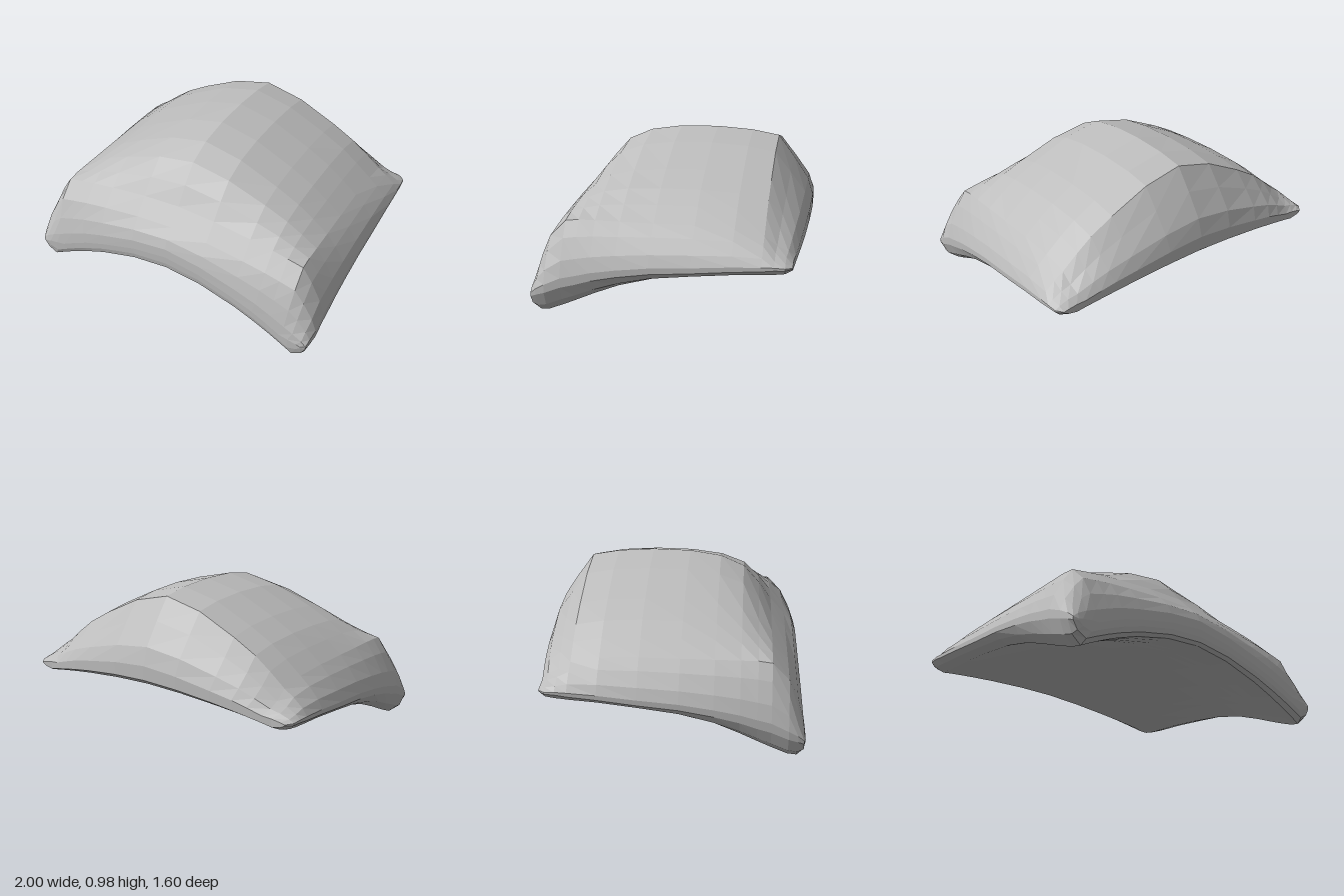
import * as THREE from 'three';

// Cross-sections from front to back:
// [z at corners, z at centre, top centre, top shoulder, side seam, bottom edge, bottom centre, half width]
const ROWS = [
  [0.80, 0.775, 0.38, 0.15, 0.12, 0.075, 0.33, 0.95],
  [0.79, 0.77, 0.44, 0.22, 0.12, 0.03, 0.295, 0.98],
  [0.755, 0.745, 0.50, 0.33, 0.14, 0.0, 0.28, 0.99],
  [0.70, 0.69, 0.56, 0.45, 0.16, 0.01, 0.285, 1],
  [0.60, 0.60, 0.66, 0.55, 0.20, 0.05, 0.30, 1],
  [0.52, 0.52, 0.77, 0.56, 0.22, 0.085, 0.32, 1],
  [0.42, 0.42, 0.88, 0.56, 0.25, 0.13, 0.345, 1],
  [0.27, 0.27, 0.945, 0.56, 0.28, 0.19, 0.375, 1],
  [0.07, 0.07, 0.975, 0.56, 0.31, 0.245, 0.41, 1],
  [-0.17, -0.17, 0.98, 0.56, 0.33, 0.28, 0.43, 1],
  [-0.40, -0.40, 0.965, 0.55, 0.355, 0.305, 0.44, 1],
  [-0.57, -0.57, 0.935, 0.52, 0.37, 0.315, 0.44, 1],
  [-0.64, -0.67, 0.80, 0.47, 0.38, 0.32, 0.435, 1],
  [-0.70, -0.765, 0.66, 0.44, 0.38, 0.33, 0.43, 0.995],
  [-0.74, -0.80, 0.55, 0.405, 0.38, 0.35, 0.46, 0.96],
];

// Stations across the width, with the rise of the top arch and of the rounded side
const HALF = [1, 0.97, 0.91, 0.85, 0.75, 0.65, 0.5, 0.25];
const XS = [...HALF, 0, ...HALF.slice().reverse().map((x) => -x)];
const ARCH = { 0.85: 0, 0.75: 0.2, 0.65: 0.38, 0.5: 0.58, 0.25: 0.86, 0: 1 };
const SIDE_TOP = { 1: 0.12, 0.97: 0.4, 0.91: 0.74 };
const SIDE_BOTTOM = { 1: 0.9, 0.97: 0.35, 0.91: 0 };

function crossSection([zEdge, zMid, topMid, shoulder, seam, bottomEdge, bottomMid, half]) {
  const mix = THREE.MathUtils.lerp;
  const place = (x, y) => {
    const bulge = Math.max(0, 1 - (x / 0.9) ** 2);
    return [x * half, y, mix(zEdge, zMid, bulge)];
  };
  const top = XS.map((x) => {
    const a = Math.abs(x);
    return place(x, a > 0.9 ? mix(seam, shoulder, SIDE_TOP[a]) : mix(shoulder, topMid, ARCH[a]));
  });
  const bottom = XS.map((x) => {
    const a = Math.abs(x);
    return place(x, a > 0.9
      ? mix(bottomEdge, seam, SIDE_BOTTOM[a])
      : mix(bottomMid, bottomEdge, (a / 0.91) ** 1.8));
  });
  return [...top, ...bottom.reverse()];
}

function cushionGeometry() {
  const n = XS.length * 2;
  const index = [];
  // Skin between neighbouring sections
  for (let r = 0; r < ROWS.length - 1; r++) {
    for (let i = 0; i < n; i++) {
      const a = r * n + i, b = r * n + (i + 1) % n;
      index.push(a, a + n, b, b, a + n, b + n);
    }
  }
  // Narrow closing strips at the front and back
  const last = (ROWS.length - 1) * n;
  for (let i = 0; i < XS.length - 1; i++) {
    const j = n - 1 - i;
    index.push(i, i + 1, j, i + 1, j - 1, j);
    index.push(last + i, last + j, last + i + 1, last + i + 1, last + j, last + j - 1);
  }
  const geometry = new THREE.BufferGeometry();
  geometry.setAttribute('position', new THREE.Float32BufferAttribute(ROWS.flatMap(crossSection).flat(), 3));
  geometry.setIndex(index);
  geometry.computeVertexNormals();
  return geometry;
}

export function createModel() {
  const group = new THREE.Group();
  group.name = 'archedCushion';
  const fabric = new THREE.MeshStandardMaterial({ color: 0xbcbcbc, flatShading: true });
  fabric.name = 'grey fabric';
  const cushion = new THREE.Mesh(cushionGeometry(), fabric);
  cushion.name = 'cushion';
  group.add(cushion);
  return group;
}
